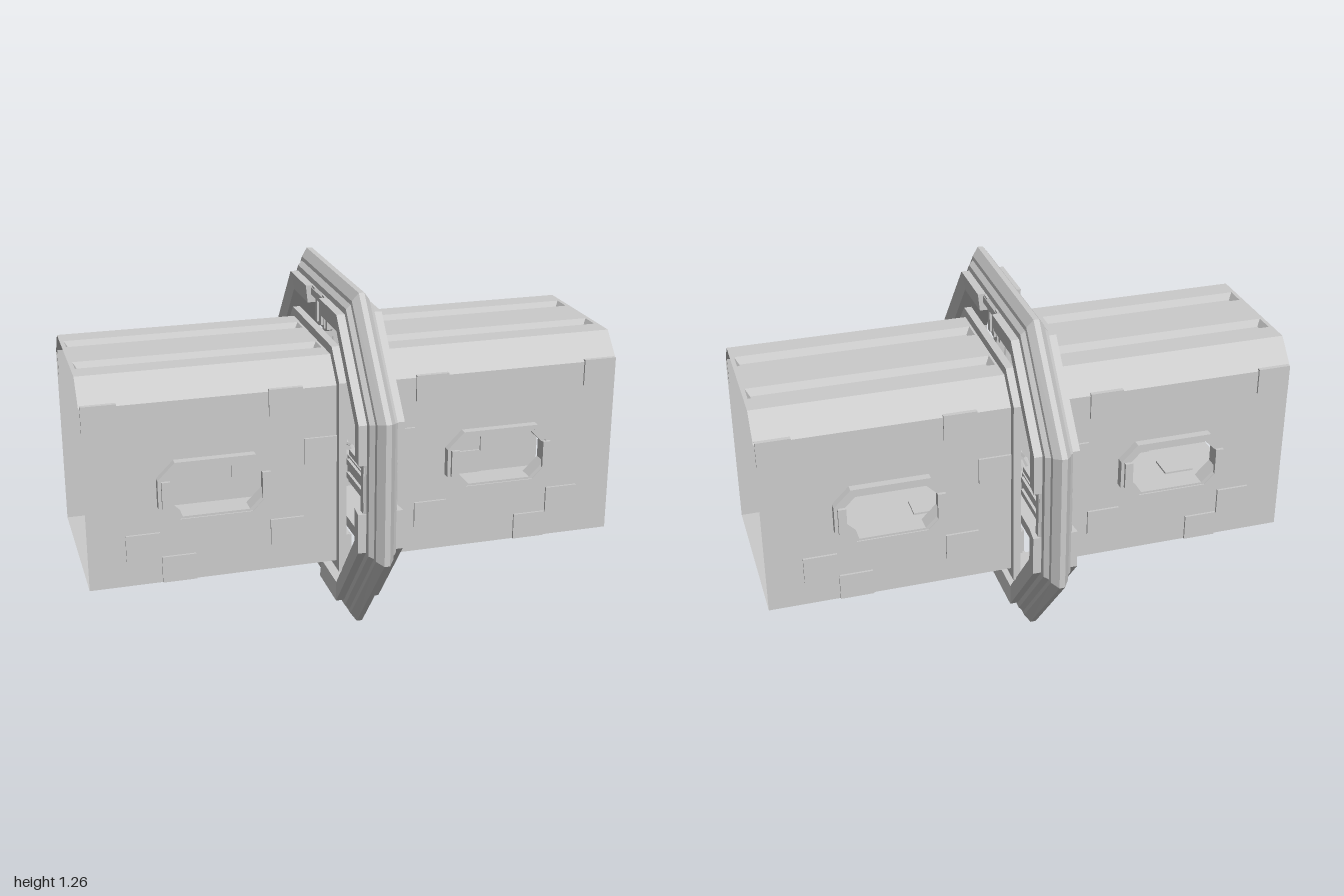
import * as THREE from 'three';

const mat = new THREE.MeshStandardMaterial({ color: 0xcccccc, flatShading: true, side: THREE.DoubleSide });
const CY = 0.63;              // height of the ring centre
const X0 = 0.08, X1 = 0.985;  // inner and outer end of a corridor
const HZ = 0.33, Y0 = 0.255, Y1 = 1.02, CZ = 0.25, YC = 0.93; // corridor section

function add(parent, name, geo, x = 0, y = 0, z = 0) {
  const m = new THREE.Mesh(geo, mat);
  m.name = name;
  m.position.set(x, y, z);
  parent.add(m);
  return m;
}
const box = (p, name, w, h, d, x, y, z) => add(p, name, new THREE.BoxGeometry(w, h, d), x, y, z);

// Surface from a list of four-cornered faces
function quads(list) {
  const pos = [];
  for (const [a, b, c, d] of list) for (const v of [a, b, c, a, c, d]) pos.push(...v);
  const g = new THREE.BufferGeometry();
  g.setAttribute('position', new THREE.Float32BufferAttribute(pos, 3));
  g.computeVertexNormals();
  return g;
}

const toPoints = (pts) => pts.map(([x, y]) => new THREE.Vector2(x, y));
const rect = (a, b, c, d) => toPoints([[a, b], [c, b], [c, d], [a, d]]);
// Eight-sided window outline
function windowOutline(w, h, c, cx = 0, cy = 0) {
  return toPoints([[w, -h + c], [w, h - c], [w - c, h], [-w + c, h], [-w, h - c], [-w, -h + c], [-w + c, -h], [w - c, -h]]
    .map(([x, y]) => [x + cx, y + cy]));
}
function shape(outer, ...holes) {
  const s = new THREE.Shape(outer);
  for (const h of holes) s.holes.push(new THREE.Path(h));
  return s;
}
const extrude = (s, depth) => new THREE.ExtrudeGeometry(s, { depth, bevelEnabled: false });

// Sweep a closed profile of [inset, x] through sections path(inset) -> [[z, y], ...]
function sweep(path, profile, closed) {
  const loops = profile.map(([d, x]) => path(d).map(([z, y]) => [x, y, z]));
  const n = loops[0].length, k = loops.length, faces = [];
  for (let i = 0; i < (closed ? n : n - 1); i++) for (let j = 0; j < k; j++) {
    const a = loops[j], b = loops[(j + 1) % k], i2 = (i + 1) % n;
    faces.push([a[i], a[i2], b[i2], b[i]]);
  }
  if (!closed) for (const e of [0, n - 1]) faces.push(loops.slice(0, 4).map((l) => l[e]));
  return quads(faces);
}
const corner = (d) => [[0.34 - 0.35 * d, 0.63 - d], [0.66 - d, 0.26 - 0.3 * d]];
function octagon(d) {
  const [[az, ay], [bz, by]] = corner(d);
  return [[az, ay], [bz, by], [bz, -by], [az, -ay], [-az, -ay], [-bz, -by], [-bz, by], [-az, ay]];
}

function makeCorridor() {
  const g = new THREE.Group();
  g.name = 'corridor';
  const WX = 0.53, WY = 0.6;

  for (const s of [1, -1]) {
    const side = new THREE.Group();
    side.name = 'sideWall';
    g.add(side);
    add(side, 'wall', new THREE.ShapeGeometry(
      shape(rect(X0, Y0, X1, YC), windowOutline(0.19, 0.1, 0.055, WX, WY))), 0, 0, s * HZ);
    // stepped window frame
    const frames = [[0.205, 0.115, 0.185, 0.098, 0.31, 0.05], [0.19, 0.102, 0.175, 0.09, 0.295, 0.06]];
    for (const [w, h, iw, ih, z, depth] of frames) {
      const f = add(side, 'windowFrame', extrude(shape(windowOutline(w, h, 0.062), windowOutline(iw, ih, 0.055)), depth), WX, WY, s * z);
      f.scale.z = s;
    }
    // flanges at the window ends
    for (const e of [-1, 1])
      box(side, 'windowFlange', 0.05, 0.1, 0.012, WX + e * 0.178, WY, s * 0.367).scale.x = 0.6;
    // raised plates
    for (const [x, y] of [[0.92, 0.89], [0.27, 0.89], [0.79, 0.4], [0.27, 0.4], [0.665, 0.305], [0.145, 0.695]])
      box(side, 'wallPlate', 0.122, 0.098, 0.016, x, y, s * HZ);
    add(side, 'roofSlope', quads([[[X0, YC, s * HZ], [X1, YC, s * HZ], [X1, Y1, s * CZ], [X0, Y1, s * CZ]]]));
  }

  // floor and its plates
  add(g, 'floor', quads([[[X0, Y0, -HZ], [X1, Y0, -HZ], [X1, Y0, HZ], [X0, Y0, HZ]]]));
  for (const x of [0.28, 0.78]) for (const z of [-0.18, 0.18])
    box(g, 'floorPlate', 0.12, 0.016, 0.1, x, Y0, z);
  for (const x of [0.43, 0.53, 0.63])
    box(g, 'floorPlate', 0.06, 0.016, 0.13, x, Y0, 0);

  // roof with two long recessed channels
  const gx0 = X0 + 0.015, gx1 = X1 - 0.015, za = 0.09, zb = 0.166;
  const roof = new THREE.ShapeGeometry(shape(rect(X0, -CZ, X1, CZ), rect(gx0, za, gx1, zb), rect(gx0, -zb, gx1, -za)));
  add(g, 'roof', roof.rotateX(-Math.PI / 2), 0, Y1, 0);
  for (const c of [-1, 1]) {
    const zc = c * (za + zb) / 2, w = (zb - za) / 2, i = 0.015, yb = Y1 - 0.025;
    const top = [[gx0, Y1, zc + w], [gx1, Y1, zc + w], [gx1, Y1, zc - w], [gx0, Y1, zc - w]];
    const low = [[gx0 + i, yb, zc + w - i], [gx1 - i, yb, zc + w - i], [gx1 - i, yb, zc - w + i], [gx0 + i, yb, zc - w + i]];
    add(g, 'roofChannel', quads([low, ...top.map((p, k) => [p, top[(k + 1) % 4], low[(k + 1) % 4], low[k]])]));
  }

  // collar around the inner end
  const section = (o) => toPoints([[-HZ - o, Y0 - o], [HZ + o, Y0 - o], [HZ + o, YC + o * 0.5], [CZ + o * 0.5, Y1 + o], [-CZ - o * 0.5, Y1 + o], [-HZ - o, YC + o * 0.5]]);
  add(g, 'collar', extrude(shape(section(0.032), section(-0.008)), 0.028).rotateY(Math.PI / 2), 0.058, 0, 0);
  return g;
}

function makeRing() {
  const g = new THREE.Group();
  g.name = 'ring';
  g.position.y = CY;
  const half = [[0, 0.01], [0.03, 0.032], [0.045, 0.034], [0.06, 0.05], [0.08, 0.052], [0.088, 0.062], [0.115, 0.062]];
  const profile = [...half, ...half.map(([d, x]) => [d, -x]).reverse()];
  add(g, 'outerRing', sweep(octagon, profile, true));

  // inner bands round each pair of corners, with gaps for the struts
  const band = [[0.08, 0.082], [0.145, 0.075], [0.145, -0.075], [0.08, -0.082]];
  for (const sz of [1, -1]) for (const sy of [1, -1]) {
    const path = (d) => [[0.09, 0.63 - d], ...corner(d), [0.66 - d, 0.09]].map(([z, y]) => [z * sz, y * sy]);
    add(g, 'innerBand', sweep(path, band, false));
  }

  // four struts joining ring and corridor collars
  const strutSpecs = [[0, 0.42, 0.545], [Math.PI, 0.405, 0.545], [Math.PI / 2, 0.345, 0.57], [-Math.PI / 2, 0.345, 0.57]];
  for (const [angle, a, b] of strutSpecs) {
    const s = new THREE.Group();
    s.name = 'strut';
    s.rotation.x = angle;
    g.add(s);
    const mid = (a + b) / 2, len = b - a;
    box(s, 'strutCore', 0.1, len, 0.085, 0, mid, 0);
    for (const e of [-1, 1]) {
      box(s, 'strutCheek', 0.09, len, 0.02, 0, mid, e * 0.052);
      box(s, 'strutFoot', 0.12, 0.035, 0.03, 0, b - 0.012, e * 0.065);
      for (const f of [-1, 1])
        box(s, 'strutRib', 0.016, len * 0.8, 0.022, f * 0.052, mid, e * 0.025);
    }
  }
  return g;
}

// Core and tapered zigzag bolts
function makeCore() {
  const g = new THREE.Group();
  g.name = 'energyCore';
  g.position.y = CY;
  add(g, 'coreCrystal', new THREE.IcosahedronGeometry(0.042, 0));
  const line = [[0.06, 0.006, 0.001], [0.12, 0.02, 0.005], [0.165, 0.027, 0.007], [0.215, 0.015, 0.008], [0.29, 0.029, 0.007], [0.37, 0.015, 0.002]];
  for (let q = 0; q < 4; q++) {
    const arm = new THREE.Group();
    arm.name = 'boltPair';
    arm.rotation.x = q * Math.PI / 2;
    if (q % 2) arm.scale.y = 0.8;
    g.add(arm);
    for (const s of [-1, 1]) {
      const rings = line.map(([y, z, r]) => [[r, y, s * z], [0, y, s * z + r * 0.7], [-r, y, s * z], [0, y, s * z - r * 0.7]]);
      const faces = [];
      for (let i = 0; i < rings.length - 1; i++) for (let j = 0; j < 4; j++)
        faces.push([rings[i][j], rings[i + 1][j], rings[i + 1][(j + 1) % 4], rings[i][(j + 1) % 4]]);
      add(arm, 'bolt', quads(faces));
    }
  }
  return g;
}

export function createModel() {
  const model = new THREE.Group();
  model.name = 'ringedCorridor';
  const body = new THREE.Group();
  body.name = 'body';
  body.rotation.y = 0.043;
  model.add(body);
  const right = makeCorridor(), left = makeCorridor();
  left.rotation.y = Math.PI;
  body.add(right, left, makeRing(), makeCore());
  return model;
}
